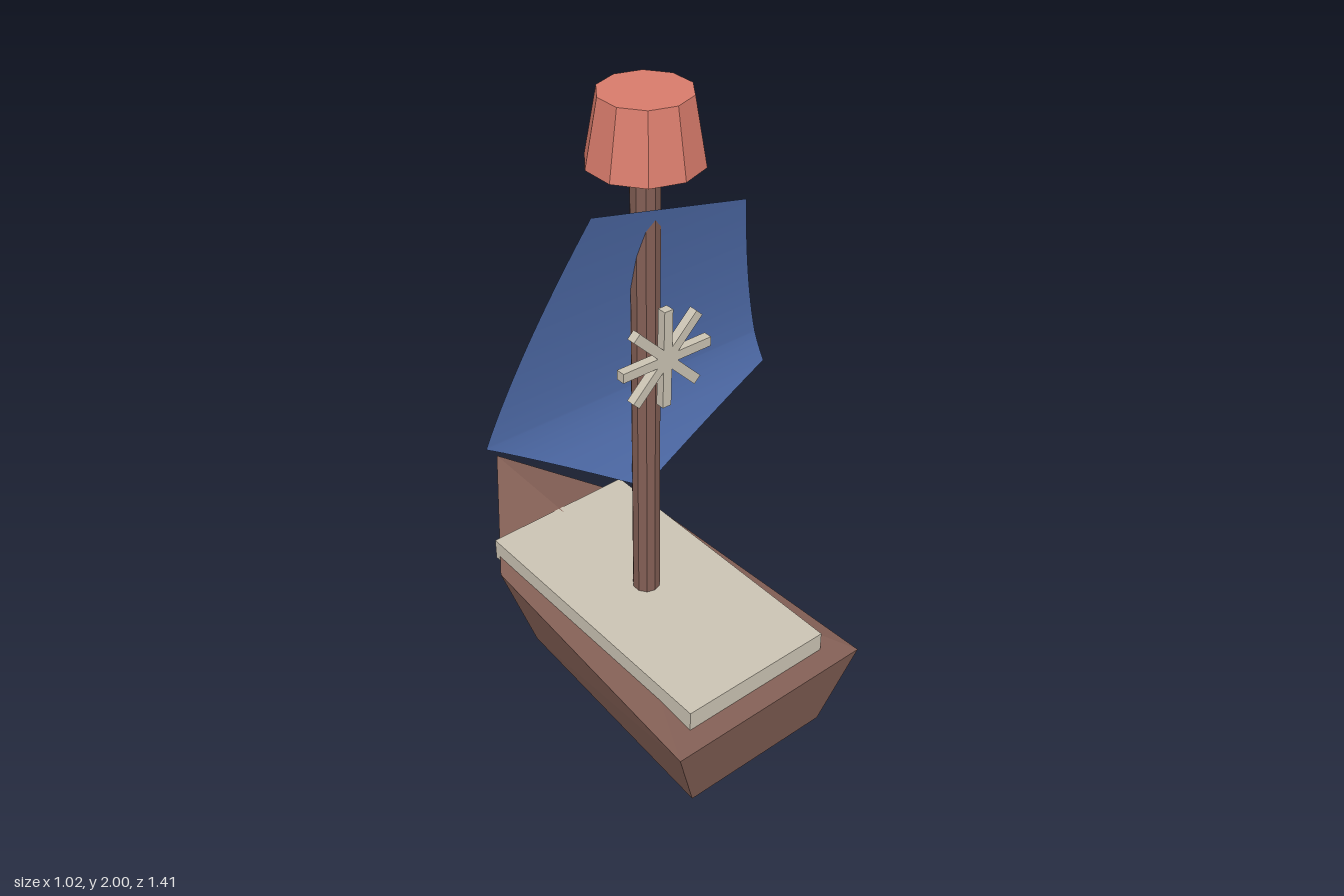
import * as THREE from 'three';

const mat = (name, color, extra = {}) =>
  Object.assign(new THREE.MeshStandardMaterial({ color, flatShading: true, ...extra }), { name });

function add(parent, name, geometry, material) {
  const mesh = new THREE.Mesh(geometry, material);
  mesh.name = name;
  parent.add(mesh);
  return mesh;
}

// Five-sided hull: upper and lower outlines joined by walls, gently peaked top
function hullGeometry() {
  const top = [[-0.34, 0.275, 0.705], [0.36, 0.29, 0.705], [0.31, 0.3, -0.25], [0.01, 0.36, -0.705], [-0.29, 0.285, -0.25]];
  const low = [[-0.24, 0.003, 0.65], [0.27, 0.013, 0.65], [0.22, 0.012, -0.19], [0.01, 0.06, -0.57], [-0.2, 0, -0.19]];
  const peak = [0.01, 0.35, -0.05];
  const v = [];
  for (let i = 0; i < 5; i++) {
    const j = (i + 1) % 5;
    v.push(...low[i], ...low[j], ...top[j], ...low[i], ...top[j], ...top[i]);
    v.push(...top[i], ...top[j], ...peak);
    if (i > 0 && i < 4) v.push(...low[0], ...low[j], ...low[i]);
  }
  const g = new THREE.BufferGeometry();
  g.setAttribute('position', new THREE.Float32BufferAttribute(v, 3));
  g.computeVertexNormals();
  return g;
}

// x of a polyline of [x, y] points at height y
function edgeAt(line, y) {
  let i = 0;
  while (i < line.length - 2 && y > line[i + 1][1]) i++;
  const [x0, y0] = line[i], [x1, y1] = line[i + 1];
  return x0 + (x1 - x0) * (y - y0) / (y1 - y0);
}

// Pentagonal sail in horizontal rows, bellied backwards around mid height
function sailGeometry() {
  const left = [[0, 0.73], [-0.51, 1.06], [-0.25, 1.74]];
  const right = [[0, 0.73], [0.51, 0.95], [0.32, 1.6], [-0.25, 1.74]];
  const depth = y => y > 1.05
    ? 0.06 + 0.14 * ((y - 1.05) / 0.69) ** 1.5
    : 0.06 + 0.065 * ((1.05 - y) / 0.32) ** 1.5;
  const heights = [0.95, 1.06, 1.6];
  for (let i = 0; i <= 24; i++) heights.push(0.73 + 1.01 * i / 24);
  heights.sort((a, b) => a - b);
  const v = [], index = [];
  heights.forEach((y, i) => {
    v.push(edgeAt(left, y), y, depth(y), edgeAt(right, y), y, depth(y));
    const a = 2 * i;
    if (i) index.push(a - 2, a - 1, a + 1, a - 2, a + 1, a);
  });
  const g = new THREE.BufferGeometry();
  g.setAttribute('position', new THREE.Float32BufferAttribute(v, 3));
  g.setIndex(index);
  g.computeVertexNormals();
  return g;
}

export function createModel() {
  const wood = mat('brown wood', 0x835f55);
  const cream = mat('cream', 0xcbc3b3);
  const coral = mat('coral', 0xd87b6b);
  const blue = mat('blue cloth', 0x5270b0, { side: THREE.DoubleSide, flatShading: false });

  const model = new THREE.Group();
  model.name = 'sailingBoat';

  add(model, 'hull', hullGeometry(), wood);

  const deck = add(model, 'deck', new THREE.BoxGeometry(0.515, 0.072, 0.975), cream);
  deck.position.set(0.01, 0.318, 0.15);
  deck.rotation.z = 0.017;

  // Mast leans slightly sideways
  const mast = add(model, 'mast', new THREE.CylinderGeometry(0.043, 0.043, 1.54, 10), wood);
  mast.position.set(-0.008, 1.07, 0.13);
  mast.rotation.z = 0.016;

  const nest = add(model, 'crowsNest', new THREE.CylinderGeometry(0.13, 0.165, 0.195, 10), coral);
  nest.position.set(-0.02, 1.902, 0.13);
  nest.rotation.z = 0.01;

  add(model, 'sail', sailGeometry(), blue);

  // Eight-armed star in front of the mast
  const star = new THREE.Group();
  star.name = 'starEmblem';
  star.position.set(-0.008, 1.235, 0.211);
  for (let i = 0; i < 4; i++) {
    const bar = add(star, 'starBar', new THREE.BoxGeometry(0.313, 0.03, 0.028), cream);
    bar.rotation.z = i * Math.PI / 4;
  }
  model.add(star);

  return model;
}
